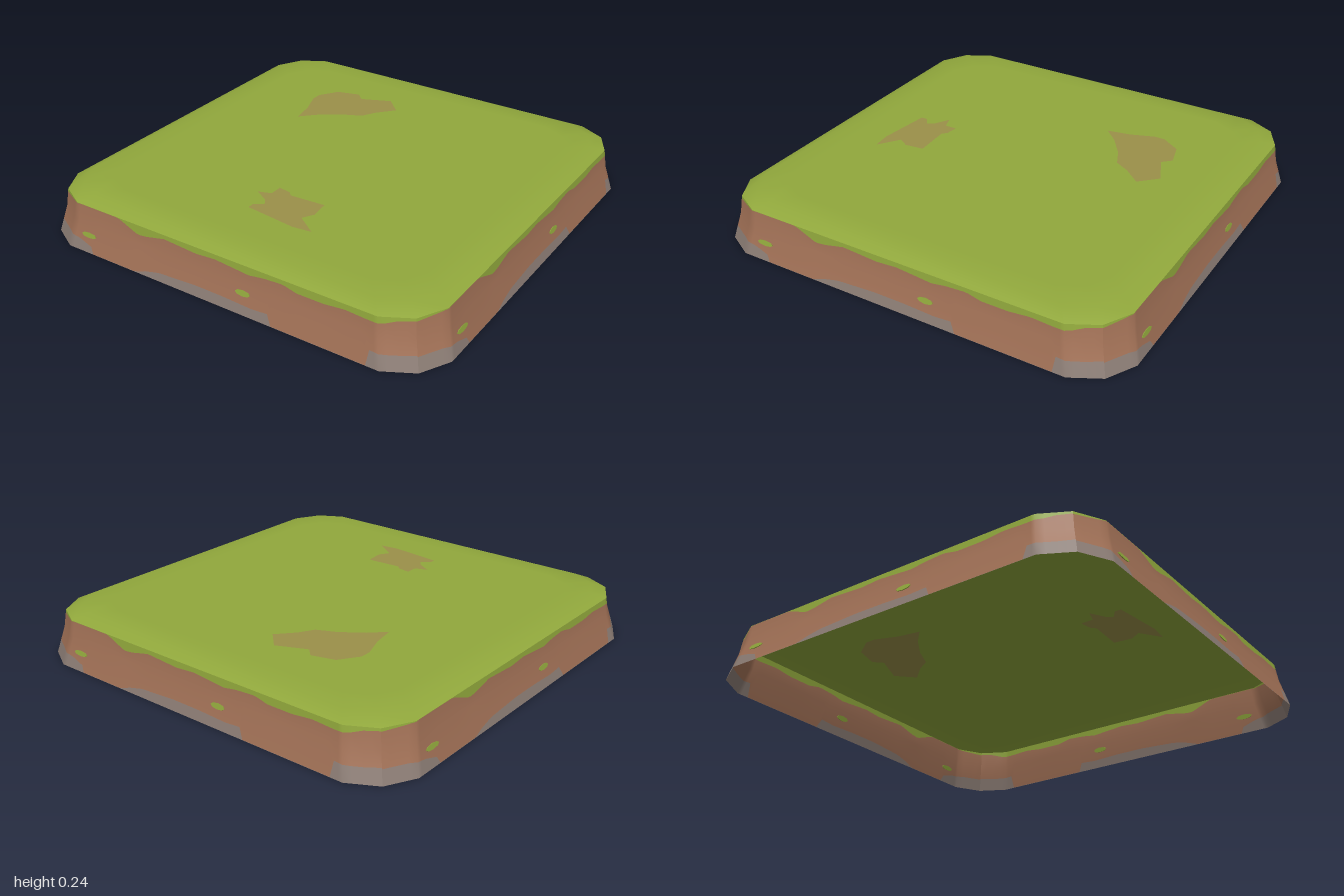
import * as THREE from 'three';

const mat = (name, color) => {
  const m = new THREE.MeshStandardMaterial({ color, side: THREE.DoubleSide });
  m.name = name;
  return m;
};

// Linear interpolation through [x, y] points
function lerpPath(points, x) {
  for (let i = 1; i < points.length; i++) {
    const [x0, y0] = points[i - 1], [x1, y1] = points[i];
    if (x <= x1) return y0 + (y1 - y0) * Math.max(0, (x - x0) / (x1 - x0));
  }
  return points[points.length - 1][1];
}

// Grid of vertices: rows of equal length, facing outward
function gridGeometry(rows, closed, bands) {
  const n = rows[0].length, position = [], index = [];
  const g = new THREE.BufferGeometry();
  rows.forEach(row => row.forEach(p => position.push(...p)));
  for (let r = 0; r < rows.length - 1; r++) {
    const start = index.length;
    for (let i = 0; i < (closed ? n : n - 1); i++) {
      const j = (i + 1) % n, a = r * n + i, b = r * n + j;
      index.push(a, b, a + n, b, b + n, a + n);
    }
    if (bands) g.addGroup(start, index.length - start, bands[r]);
  }
  g.setAttribute('position', new THREE.Float32BufferAttribute(position, 3));
  g.setIndex(index);
  g.computeVertexNormals();
  return g;
}

// Half plan of one side, wall inset by height, and painted borders along a side
const SIDE = [[-0.93, 0.93], [-0.8, 1], [0.8, 1], [0.93, 0.93]];
const INSET = [[0, 1], [0.125, 0.968], [0.208, 0.957]];
const STONE = [[-0.93, 0.06], [-0.83, 0.06], [-0.75, 0.05], [-0.68, 0.03], [-0.66, 0], [-0.42, 0],
  [-0.36, 0.02], [-0.29, 0.035], [-0.1, 0.045], [0.05, 0.045], [0.2, 0.04], [0.28, 0.045],
  [0.3, 0], [0.74, 0], [0.76, 0.065], [0.85, 0.06], [0.93, 0.065]];
const FRINGE = [[-0.93, 0.195], [-0.85, 0.2], [-0.78, 0.207], [-0.55, 0.207], [-0.5, 0.19],
  [-0.43, 0.165], [-0.38, 0.17], [-0.28, 0.19], [-0.1, 0.18], [0, 0.187], [0.18, 0.174],
  [0.25, 0.184], [0.35, 0.19], [0.42, 0.175], [0.55, 0.175], [0.65, 0.185], [0.75, 0.18],
  [0.82, 0.18], [0.86, 0.193], [0.93, 0.197]];
const PATCHES = [
  [[-0.5, -0.5], [-0.44, -0.59], [-0.33, -0.62], [-0.29, -0.58], [-0.15, -0.64], [-0.12, -0.61],
    [-0.07, -0.56], [-0.14, -0.48], [-0.18, -0.41], [-0.27, -0.37], [-0.37, -0.3], [-0.44, -0.23],
    [-0.46, -0.34], [-0.5, -0.45]],
  [[-0.08, 0.41], [-0.02, 0.42], [0, 0.44], [0.17, 0.43], [0.18, 0.52], [0.15, 0.57], [0.25, 0.64],
    [0.16, 0.65], [-0.09, 0.62], [-0.09, 0.59], [-0.05, 0.56], [-0.07, 0.53], [-0.14, 0.49], [-0.08, 0.47]],
];

export function createModel() {
  const group = new THREE.Group();
  const grass = mat('grass', 0x91a83c);
  const earth = mat('earth', 0xa37257);
  const stone = mat('stone', 0x8c7d75);
  const bare = mat('bareGround', 0x9b9049);
  const add = (name, geometry, material, parent = group) => {
    const mesh = new THREE.Mesh(geometry, material);
    mesh.name = name;
    parent.add(mesh);
    return mesh;
  };

  // Earth wall: stone at the foot, grass fringe at the top
  const xs = [-0.93, -0.9, -0.87, -0.83];
  for (let i = 0; i <= 80; i++) xs.push(-0.8 + i * 0.02);
  xs.push(0.83, 0.87, 0.9, 0.93);
  const heights = [
    () => 0,
    x => Math.max(0.001, lerpPath(STONE, x)),
    () => 0.125,
    x => lerpPath(FRINGE, x),
    () => 0.208,
  ];
  const wallRows = heights.map(h => xs.map(x => {
    const y = h(x), k = lerpPath(INSET, y);
    return [x * k, y, lerpPath(SIDE, x) * k];
  }));
  const wallGeometry = gridGeometry(wallRows, false, [0, 1, 1, 2]);
  const tuftGeometry = new THREE.CylinderGeometry(1, 1, 0.006, 8).rotateX(Math.PI / 2);

  for (let k = 0; k < 4; k++) {
    const side = new THREE.Group();
    side.name = 'side' + (k + 1);
    side.rotation.y = k * Math.PI / 2;
    group.add(side);
    add('wall', wallGeometry, [stone, earth, grass], side);
    // Small grass tufts on the wall
    for (const [x, y, w, h] of [[-0.69, 0.078, 0.042, 0.012], [0.15, 0.09, 0.038, 0.013]]) {
      const tuft = add('tuft', tuftGeometry, grass, side);
      tuft.position.set(x, y, lerpPath(INSET, y));
      tuft.rotation.x = -0.25;
      tuft.scale.set(w, h, 1);
    }
  }

  // Rounded grass rim
  const outline = [];
  for (let k = 0; k < 4; k++) {
    for (let [x, z] of SIDE.slice(0, 3)) {
      for (let t = 0; t < k; t++) [x, z] = [z, -x];
      outline.push([x, z]);
    }
  }
  const rimRows = [[0.957, 0.208], [0.9, 0.234], [0.8, 0.236]]
    .map(([s, y]) => outline.map(([x, z]) => [x * s, y, z * s]));
  add('grassRim', gridGeometry(rimRows, true), grass);

  // Flat grass top, with bare patches set into it
  const shape = pts => new THREE.Shape(pts.map(([x, z]) => new THREE.Vector2(x, -z)));
  const flat = s => new THREE.ShapeGeometry(s).rotateX(-Math.PI / 2).translate(0, 0.236, 0);
  const top = shape(outline.map(([x, z]) => [x * 0.8, z * 0.8]));
  PATCHES.forEach(p => {
    top.holes.push(shape(p));
    add('barePatch', flat(shape(p)), bare);
  });
  add('grassTop', flat(top), grass);
  return group;
}
